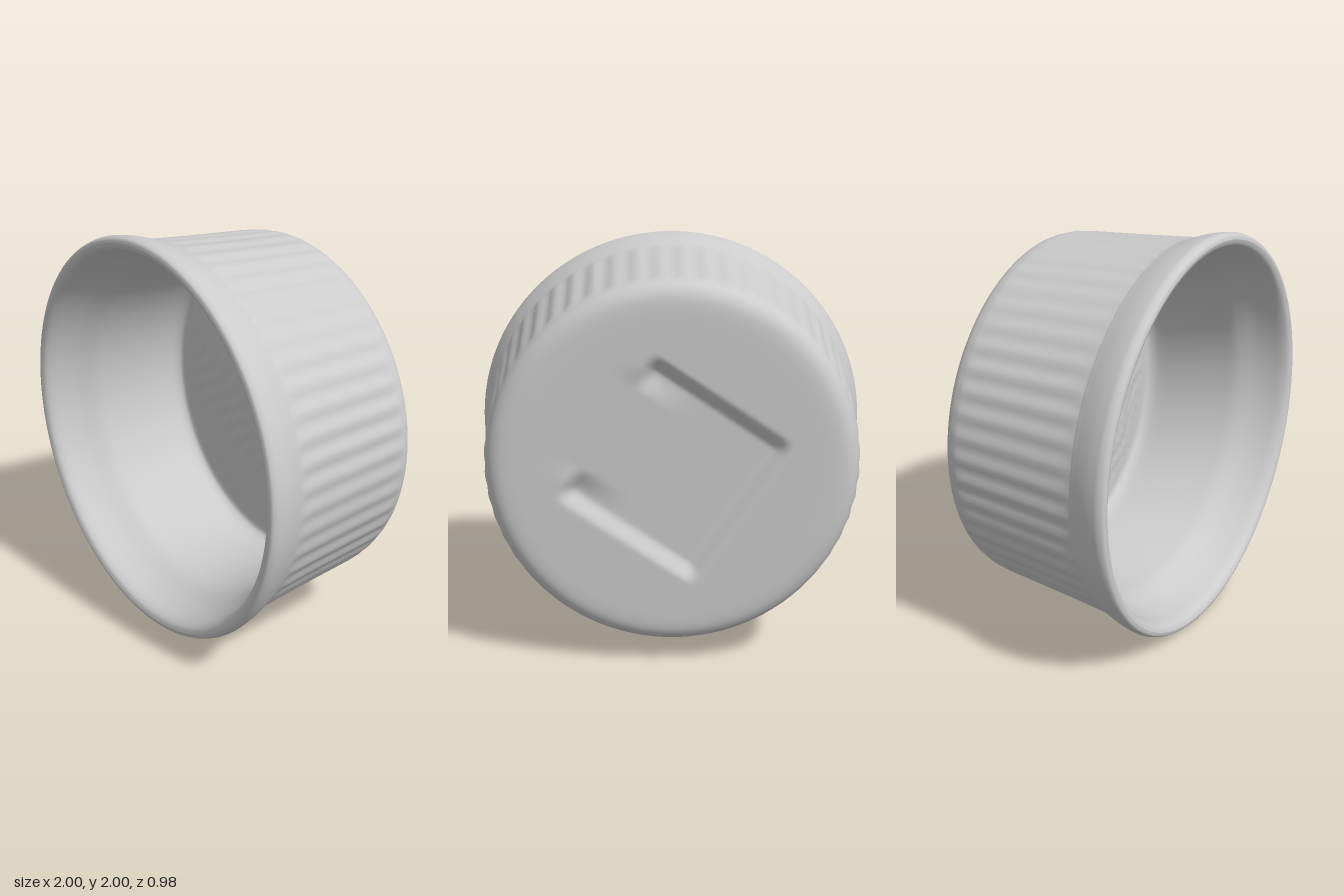
import * as THREE from 'three';
import { mergeVertices } from 'three/addons/utils/BufferGeometryUtils.js';

const FLUTES = 52;
const SEGMENTS = FLUTES * 5;
const step = THREE.MathUtils.smoothstep;

// Revolves a profile of [radius, z] points about the z axis, then moves each vertex by a rule.
function turned(name, points, rule) {
  let geo = new THREE.LatheGeometry(points, SEGMENTS);
  geo.rotateX(Math.PI / 2);
  geo.deleteAttribute('uv');
  geo.deleteAttribute('normal');
  const pos = geo.attributes.position;
  const v = new THREE.Vector3();
  for (let i = 0; i < pos.count; i++) {
    v.fromBufferAttribute(pos, i);
    rule(v);
    pos.setXYZ(i, v.x, v.y, v.z);
  }
  geo = mergeVertices(geo, 1e-5);
  geo.computeVertexNormals();
  const mesh = new THREE.Mesh(geo, new THREE.MeshStandardMaterial({ color: 0xcccccc, side: THREE.DoubleSide }));
  mesh.name = name;
  return mesh;
}

const smoothProfile = (pairs, n) =>
  new THREE.SplineCurve(pairs.map(([r, z]) => new THREE.Vector2(r, z))).getPoints(n);

const discProfile = (r0, r1, z, n) =>
  Array.from({ length: n + 1 }, (_, i) => new THREE.Vector2(r0 + (r1 - r0) * i / n, z));

// Shallow flutes in the outer wall, fading out at both ends and worn unevenly around it
function flute(v) {
  const r = Math.hypot(v.x, v.y);
  const a = Math.atan2(v.y, v.x);
  const fade = step(v.z, -0.44, -0.33) * (1 - step(v.z, 0.22, 0.3));
  const depth = 0.005 + 0.0015 * Math.sin(5 * a) * Math.sin(3 * a + 1);
  const k = 1 - depth * fade * Math.cos(a * FLUTES) / r;
  v.x *= k;
  v.y *= k;
}

// Tilted square recess in the base, with one side open between two short corners
const TILT = THREE.MathUtils.degToRad(34);
function recess(p) {
  const x = p.x + 0.005, y = p.y + 0.01;
  const u = x * Math.cos(TILT) + y * Math.sin(TILT);
  const w = Math.abs(-x * Math.sin(TILT) + y * Math.cos(TILT));
  const wall = (d) => step(d, -0.03, 0.06);
  const open = 1 - step(w, 0.22, 0.34);
  const end = THREE.MathUtils.lerp(wall(0.38 - u), 1 - step(u, 0.05, 0.55), open);
  p.z += 0.05 * wall(0.4 - w) * wall(u + 0.38) * end;
}

// Fine uneven dimples on the inside floor
function dimple(p) {
  const fade = 1 - step(Math.hypot(p.x, p.y), 0.66, 0.75);
  p.z += 0.0014 * fade * (Math.sin(83 * p.x + 19 * p.y + 2 * Math.sin(13 * p.y)) * Math.sin(71 * p.y - 17 * p.x)
    + Math.sin(47 * p.x - 39 * p.y + 3 * Math.sin(11 * p.y + 5 * p.x)));
}

export function createModel() {
  const group = new THREE.Group();
  group.name = 'ramekin';

  // Outer wall from the base edge up to the rolled rim
  const outer = smoothProfile([
    [0.7, -0.485], [0.78, -0.483], [0.83, -0.472], [0.866, -0.445], [0.886, -0.4], [0.896, -0.33],
    [0.923, 0], [0.947, 0.25], [0.956, 0.29], [0.973, 0.335], [0.988, 0.38], [0.997, 0.42],
    [1, 0.45], [0.99, 0.476], [0.97, 0.483],
  ], 64);
  group.add(turned('outerWall', outer, flute));

  // Inner wall: flared below the rim, nearly straight, then a fillet into the floor
  const inner = smoothProfile([
    [0.97, 0.483], [0.945, 0.472], [0.927, 0.44], [0.912, 0.38], [0.89, 0.31], [0.864, 0.25], [0.845, 0.2],
    [0.833, 0.13], [0.816, 0], [0.805, -0.13], [0.8, -0.23], [0.793, -0.275], [0.775, -0.303], [0.745, -0.31],
  ], 48);
  group.add(turned('innerWall', inner, () => {}));

  group.add(turned('innerFloor', discProfile(0.745, 0, -0.31, 56), dimple));
  group.add(turned('base', discProfile(0, 0.7, -0.485, 56), recess));

  group.position.y = 1;
  group.rotation.y = -0.007;
  const root = new THREE.Group();
  root.name = 'dish';
  root.add(group);
  return root;
}
